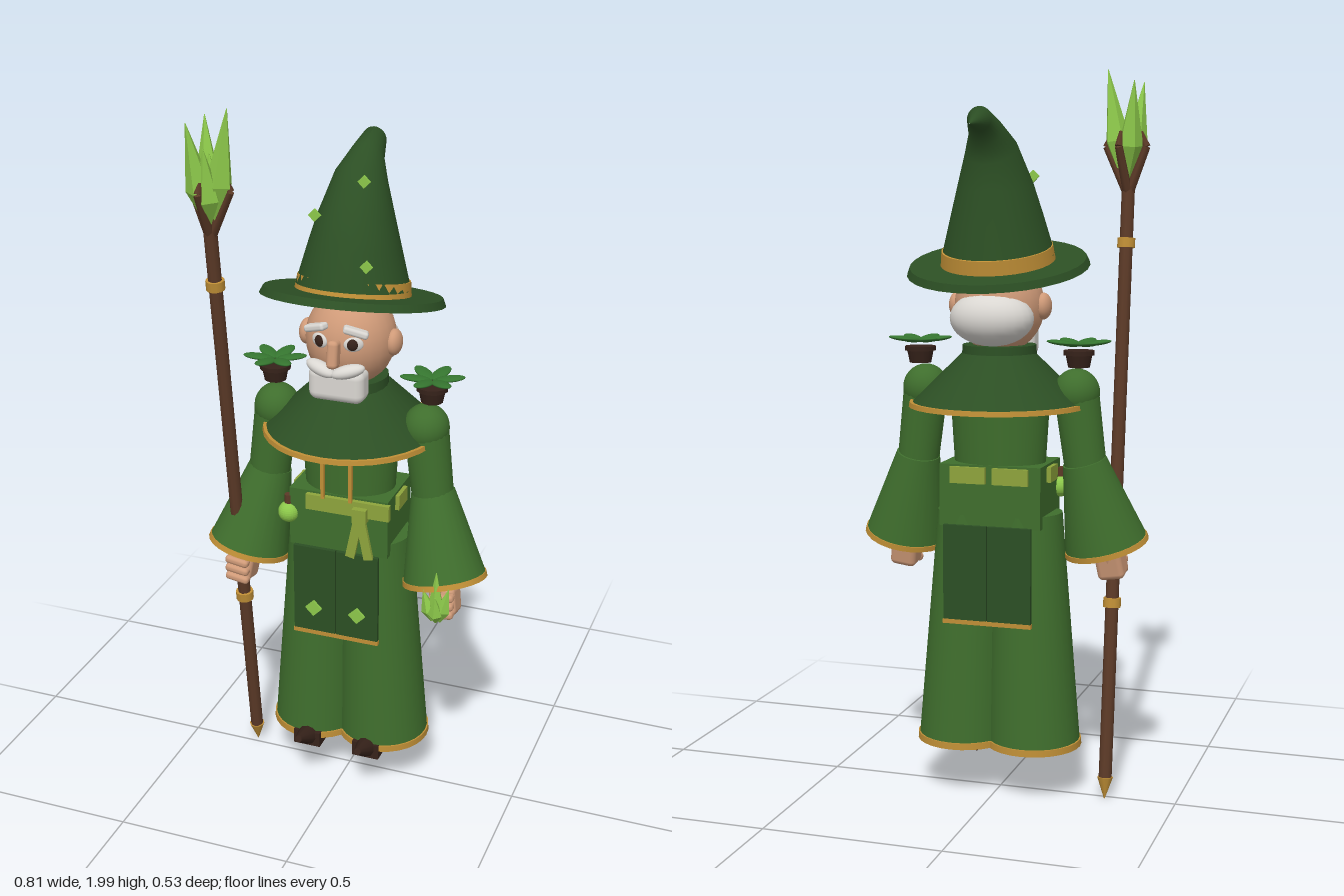
import * as THREE from 'three';
import { RoundedBoxGeometry } from 'three/addons/geometries/RoundedBoxGeometry.js';

const mat = (name, color, extra = {}) => {
  const m = new THREE.MeshStandardMaterial({ color, ...extra });
  m.name = name;
  return m;
};

export function createModel() {
  const root = new THREE.Group();
  root.name = 'forestWizard';
  const darkGreen = mat('darkGreen', 0x2c4f24);
  const robeGreen = mat('robeGreen', 0x3f6e2d);
  const gold = mat('gold', 0xc08f36);
  const skin = mat('skin', 0xcf9a78);
  const white = mat('hairWhite', 0xdad7d2);
  const wood = mat('wood', 0x5c3a27);
  const darkBrown = mat('darkBrown', 0x36221a);
  const lime = mat('lime', 0x8cc84a, { flatShading: true });
  const olive = mat('olive', 0x8ea43c);
  const leaf = mat('leaf', 0x35752f);

  const V = (x, y, z) => new THREE.Vector3(x, y, z);
  const add = (name, geo, m, p = [0, 0, 0], r = [0, 0, 0], s = [1, 1, 1], parent = root) => {
    const mesh = new THREE.Mesh(geo, m);
    mesh.name = name;
    mesh.position.set(...p);
    mesh.rotation.set(...r);
    mesh.scale.set(...s);
    parent.add(mesh);
    return mesh;
  };
  const box = (name, m, size, p, r, parent) => add(name, new THREE.BoxGeometry(...size), m, p, r, undefined, parent);
  const ball = (name, m, radii, p, r, parent) => add(name, new THREE.SphereGeometry(1, 24, 16), m, p, r, radii, parent);
  // Frustum running from point a (radius ra) to point b (radius rb)
  const limb = (name, m, a, b, ra, rb, sides = 20, parent = root) => {
    const d = b.clone().sub(a);
    const mesh = add(name, new THREE.CylinderGeometry(rb, ra, d.length(), sides), m, undefined, undefined, undefined, parent);
    mesh.position.copy(a).add(b).multiplyScalar(0.5);
    mesh.quaternion.setFromUnitVectors(V(0, 1, 0), d.normalize());
    return mesh;
  };
  // Faceted crystal: short lower point, long upper point
  const crystal = (name, a, b, r, parent = root) => {
    const mid = a.clone().lerp(b, 0.35);
    limb(name, lime, a, mid, 0.003, r, 5, parent);
    limb(name, lime, mid, b, r, 0.001, 5, parent);
  };

  // Hat: tilted brim and band
  const hat = new THREE.Group();
  hat.name = 'hat';
  hat.position.set(0, 1.475, -0.022);
  hat.rotation.x = -0.225;
  root.add(hat);
  add('hatBrim', new THREE.CylinderGeometry(0.238, 0.247, 0.02, 32), darkGreen, undefined, undefined, undefined, hat);
  add('hatBand', new THREE.CylinderGeometry(0.15, 0.158, 0.062, 32), gold, [0, 0.017, 0], undefined, undefined, hat);

  // Bent crown: rings of [y, z, radius, tilt]
  const rings = [[1.5, -0.025, 0.153, 0.2], [1.6, -0.036, 0.126, 0.18], [1.685, -0.048, 0.102, 0.16],
    [1.778, -0.085, 0.07, 0.6], [1.823, -0.13, 0.046, 0.95], [1.853, -0.185, 0.033, 1.45], [1.838, -0.265, 0.001, 1.8]];
  const N = 28, pos = [], idx = [];
  rings.forEach(([y, z, r, t], i) => {
    for (let j = 0; j <= N; j++) {
      const a = (j / N) * Math.PI * 2, c = Math.cos(a) * r;
      pos.push(Math.sin(a) * r, y + c * Math.sin(t), z + c * Math.cos(t));
      if (i && j < N) {
        const q = i * (N + 1) + j, p = q - N - 1;
        idx.push(p, p + 1, q, p + 1, q + 1, q);
      }
    }
  });
  const crown = new THREE.BufferGeometry();
  crown.setAttribute('position', new THREE.Float32BufferAttribute(pos, 3));
  crown.setIndex(idx);
  crown.computeVertexNormals();
  add('hatCrown', crown, darkGreen);
  for (const p of [[0.04, 1.79, 0.005], [-0.07, 1.71, 0.07], [0.083, 1.6, 0.105]])
    box('hatDiamond', lime, [0.024, 0.024, 0.008], p, [0, 0, Math.PI / 4]);

  // Head and face
  ball('head', skin, [0.122, 0.13, 0.122], [0, 1.365, -0.01]);
  ball('backHair', white, [0.115, 0.075, 0.085], [0, 1.335, -0.08]);
  add('nose', new RoundedBoxGeometry(0.03, 0.075, 0.04, 3, 0.012), skin, [0, 1.36, 0.123], [-0.15, 0, 0]);
  add('beard', new RoundedBoxGeometry(0.155, 0.095, 0.075, 3, 0.025), white, [0, 1.268, 0.085]);
  for (const s of [-1, 1]) {
    ball('ear', skin, [0.022, 0.036, 0.034], [s * 0.122, 1.365, -0.005]);
    ball('eyeWhite', white, [0.026, 0.02, 0.008], [s * 0.047, 1.385, 0.1], [0, s * 0.4, 0]);
    ball('pupil', darkBrown, [0.015, 0.016, 0.008], [s * 0.046, 1.385, 0.105], [0, s * 0.4, 0]);
    add('eyebrow', new RoundedBoxGeometry(0.068, 0.02, 0.03, 2, 0.008), white, [s * 0.055, 1.422, 0.105], [0, s * 0.35, -s * 0.3]);
    ball('moustache', white, [0.046, 0.018, 0.022], [s * 0.038, 1.315, 0.118], [0, s * 0.3, s * 0.25]);
  }

  // Collar, cape and torso
  add('collar', new THREE.CylinderGeometry(0.1, 0.105, 0.08, 24), darkGreen, [0, 1.22, -0.012]);
  add('cape', new THREE.CylinderGeometry(0.1, 0.238, 0.135, 32), darkGreen, [0, 1.17, -0.018]);
  add('capeTrim', new THREE.CylinderGeometry(0.243, 0.245, 0.013, 32), gold, [0, 1.1, -0.018]);
  add('chest', new THREE.CylinderGeometry(0.14, 0.125, 0.24, 28), robeGreen, [0, 1.02, -0.005], undefined, [1, 1, 0.75]);
  box('waist', robeGreen, [0.285, 0.17, 0.195], [0, 0.855, -0.005]);
  for (const s of [-1, 1]) {
    box('chestCord', gold, [0.01, 0.17, 0.01], [s * 0.04, 1.015, 0.105]);
    box('sideBelt', olive, [0.018, 0.042, 0.07], [s * 0.145, 0.912, -0.005]);
    box('beltBack', olive, [0.1, 0.045, 0.016], [s * 0.06, 0.912, -0.105]);
    // Sash tails
    box('sashTail', olive, [0.026, 0.13, 0.01], [0.07 + s * 0.014, 0.835, 0.116], [0, 0, s * 0.2]);
  }
  box('beltFront', olive, [0.24, 0.045, 0.016], [0.03, 0.912, 0.098]);
  box('sashKnot', olive, [0.04, 0.04, 0.025], [0.07, 0.9, 0.112]);
  ball('potionFlask', lime, [0.03, 0.03, 0.03], [-0.148, 0.862, 0.085]);
  add('flaskNeck', new THREE.CylinderGeometry(0.012, 0.012, 0.03, 10), wood, [-0.148, 0.9, 0.085]);

  // Lower robe, tabards and shoes
  for (const s of [-1, 1]) {
    limb('robeLeg', robeGreen, V(s * 0.1, 0.165, -0.013), V(s * 0.078, 0.8, -0.006), 0.128, 0.097, 28);
    add('robeHem', new THREE.CylinderGeometry(0.132, 0.133, 0.018, 28), gold, [s * 0.1, 0.16, -0.013]);
    box('shoe', darkBrown, [0.08, 0.045, 0.18], [s * 0.09, 0.148, 0.03]);
    limb('shoeToe', darkBrown, V(s * 0.09, 0.148, 0.09), V(s * 0.09, 0.185, 0.182), 0.036, 0.01, 10);
    box('frontTabard', darkGreen, [0.122, 0.265, 0.012], [s * 0.0625, 0.645, 0.11]);
    box('backTabard', darkGreen, [0.122, 0.265, 0.012], [s * 0.0625, 0.645, -0.124]);
    box('tabardTrim', gold, [0.125, 0.012, 0.015], [s * 0.0625, 0.51, 0.11]);
    box('tabardTrim', gold, [0.125, 0.012, 0.015], [s * 0.0625, 0.51, -0.124]);
    box('tabardDiamond', lime, [0.034, 0.034, 0.009], [s * 0.064, 0.59, 0.119], [0, 0, Math.PI / 4]);
  }

  // Arms, flared sleeves, hands and shoulder plants
  for (const s of [-1, 1]) {
    const elbow = V(s * 0.238, 0.95, -0.005), cuff = V(s * 0.29, 0.715, 0.038);
    ball('shoulder', robeGreen, [0.063, 0.065, 0.065], [s * 0.215, 1.135, -0.005]);
    limb('upperArm', robeGreen, V(s * 0.215, 1.135, -0.005), V(s * 0.242, 0.92, 0), 0.061, 0.057);
    limb('sleeve', robeGreen, elbow, cuff, 0.06, 0.115, 24);
    limb('sleeveTrim', gold, elbow.clone().lerp(cuff, 0.97), elbow.clone().lerp(cuff, 1.03), 0.116, 0.118, 24);
    limb('wrist', skin, cuff, V(s * 0.3, 0.67, 0.055), 0.034, 0.034, 12);
    add('hand', new RoundedBoxGeometry(0.075, 0.08, 0.075, 2, 0.015), skin, [s * 0.3, 0.66, 0.06], [-0.2, 0, s * 0.15]);
    for (let i = 0; i < 3; i++)
      add('finger', new RoundedBoxGeometry(0.07, 0.023, 0.03, 2, 0.01), skin, [s * 0.302, 0.685 - i * 0.026, 0.1], [0, 0, s * 0.15]);

    const plant = new THREE.Group();
    plant.name = 'shoulderPlant';
    plant.position.set(s * 0.225, 1.2, -0.02);
    root.add(plant);
    add('pot', new THREE.CylinderGeometry(0.038, 0.03, 0.04, 12), darkBrown, [0, 0.025, 0], undefined, undefined, plant);
    add('potRim', new THREE.CylinderGeometry(0.043, 0.043, 0.012, 12), darkBrown, [0, 0.044, 0], undefined, undefined, plant);
    for (let i = 0; i < 6; i++) {
      const a = (i / 6) * Math.PI * 2 + 0.3;
      ball('plantLeaf', leaf, [0.042, 0.007, 0.02], [Math.cos(a) * 0.045, 0.07, -Math.sin(a) * 0.045], [0, a, 0.12], plant);
    }
  }

  // Crystals held in the left hand
  for (const [dx, dz, h] of [[0, 0, 0.785], [-0.035, 0.005, 0.73], [0.035, 0, 0.74], [0.005, 0.025, 0.72]])
    crystal('handCrystal', V(0.3 + dx * 0.3, 0.635, 0.142 + dz * 0.3), V(0.3 + dx, h, 0.145 + dz), 0.021);

  // Staff leaning forward
  const at = (y) => V(-0.305, y, -0.017 + (y - 0.01) * 0.126);
  limb('staffShaft', wood, at(0.06), at(1.68), 0.018, 0.018, 10);
  limb('staffTip', gold, at(0.07), at(0.01), 0.022, 0.001, 10);
  for (const y of [0.55, 1.53]) limb('staffRing', gold, at(y - 0.013), at(y + 0.013), 0.025, 0.025, 12);
  const head = at(1.66), c = V(-0.298, 1.7, 0.198);
  for (let i = 0; i < 4; i++) {
    const a = (i / 4) * Math.PI * 2 + 0.15, dx = Math.cos(a), dz = Math.sin(a);
    const bend = V(c.x + dx * 0.058, 1.79, c.z + dz * 0.058);
    limb('staffProng', wood, head, bend, 0.014, 0.011, 6);
    limb('staffProngTip', wood, bend, V(c.x + dx * 0.042, 1.83, c.z + dz * 0.042), 0.011, 0.005, 6);
  }
  for (const [dx, dz, h] of [[0.056, 0.01, 1.998], [-0.034, 0.058, 1.965], [-0.03, -0.045, 1.965], [0.005, 0.045, 1.9], [0, 0, 1.88]])
    crystal('staffCrystal', V(c.x + dx * 0.2, 1.7, c.z + dz * 0.2), V(c.x + dx, h, c.z + dz), 0.036);

  return root;
}
